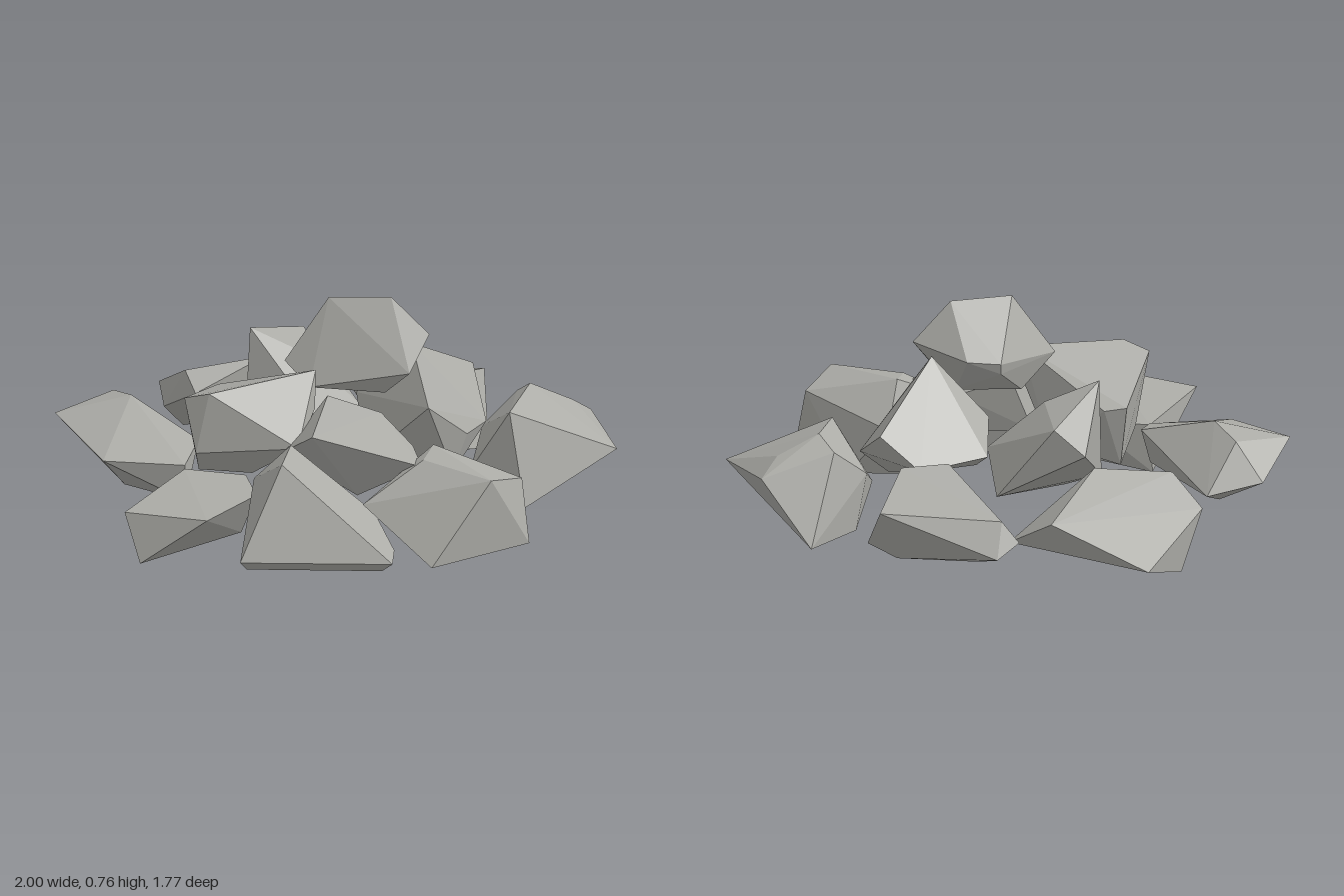
import * as THREE from 'three';
import { ConvexGeometry } from 'three/addons/geometries/ConvexGeometry.js';

// Corner points [x, y, z] of each faceted stone; the convex hull gives its faces.
const stones = {
  // outer ring
  leftBackStone: [
    [0, .15, -.73], [.08, .1, -.77], [.06, .22, -.7], [.49, .24, -.65], [.52, .03, -.4], [.4, .31, -.39],
    [.23, .31, -.36], [.44, .05, -.32], [.25, .2, -.25], [.2, .01, -.36], [.14, .03, -.6], [.42, .01, -.5]],
  leftStone: [
    [1, .19, .03], [.68, .01, .17], [.62, .33, .06], [.68, .36, -.17], [.63, .31, -.23], [.83, .29, -.2],
    [.72, .01, -.4], [.89, .23, -.27], [.48, .1, .02], [.51, .2, -.16], [.75, 0, -.05], [.55, 0, -.2]],
  leftFrontStone: [
    [.385, 0, .79], [.59, .29, .67], [.37, .33, .41], [.69, .25, .52], [.72, .03, .59], [.41, .19, .27],
    [.13, .17, .61], [.34, .31, .52], [.55, 0, .35], [.32, 0, .33]],
  frontStone: [
    [-.29, .04, .885], [.25, .04, .87], [.25, .05, .75], [-.15, .36, .74], [-.13, .36, .53], [-.26, .24, .55],
    [-.12, .3, .48], [.17, .13, .58], [-.27, 0, .84], [.21, 0, .83], [.1, 0, .55], [-.2, 0, .58]],
  rightFrontStone: [
    [-.71, .16, .71], [-.65, 0, .8], [-.41, .18, .84], [-.52, .18, .3], [-.3, .18, .35], [-.25, .18, .56],
    [-.53, 0, .3], [-.31, 0, .45]],
  rightStone: [
    [-1, .26, -.04], [-.89, .18, -.28], [-.69, .14, -.3], [-.8, .3, -.18], [-.73, .33, -.05], [-.48, .23, .13],
    [-.52, .19, .29], [-.52, .05, .27], [-.81, .2, .29], [-.75, .01, 0]],
  rightBackStone: [
    [-.45, .09, -.89], [-.11, .24, -.79], [.03, .11, -.62], [-.28, .33, -.48], [-.56, .29, -.43], [-.66, .2, -.56],
    [-.64, .12, -.52], [-.52, .22, -.38], [-.22, .16, -.5], [-.58, 0, -.66]],
  // middle layer
  innerBackStone: [
    [-.315, .545, -.18], [-.25, .36, -.45], [-.14, .46, -.44], [.06, .18, -.36], [.08, .28, -.13], [-.33, .13, -.04],
    [-.07, .3, .06], [-.12, .46, -.16], [0, .15, -.2], [-.2, .1, -.05]],
  innerLeftStone: [
    [.27, .57, .02], [.33, .28, -.36], [.47, .39, -.29], [.53, .25, -.07], [.34, .39, .2], [.47, .25, .07],
    [.085, .28, -.23], [.07, .36, -.04], [.11, .14, .05], [.3, .24, -.2], [.42, .11, .08]],
  innerRightStone: [
    [-.52, .455, .32], [-.43, .485, .36], [-.42, .38, -.04], [-.34, .37, -.04], [-.06, .53, .21], [-.06, .4, .25],
    [-.475, .27, .385], [-.11, .31, .43], [-.28, .17, .3], [-.4, .15, 0], [-.15, .2, .1], [-.47, .18, .3]],
  innerFrontStone: [
    [-.05, .42, .615], [-.02, .42, .17], [.17, .36, .17], [.335, .28, .51], [.29, .28, .29], [-.16, .3, .43],
    [-.1, .2, .22], [.1, .14, .43], [.2, .2, .22]],
  // summit
  topStone: [
    [-.02, .765, .1], [.2, .76, .07], [-.175, .535, .13], [.335, .615, .05], [.27, .5, .15], [-.085, .45, .17],
    [.03, .58, -.1], [.15, .59, -.1], [.18, .41, .1], [-.05, .43, .04], [.03, .54, -.09]],
};

export function createModel() {
  const pile = new THREE.Group();
  pile.name = 'stonePile';
  const stoneGrey = new THREE.MeshStandardMaterial({ color: 0xacaca7 });
  stoneGrey.name = 'stoneGrey';
  stoneGrey.flatShading = true;

  for (const [name, corners] of Object.entries(stones)) {
    const points = corners.map((c) => new THREE.Vector3(...c));
    const stone = new THREE.Mesh(new ConvexGeometry(points), stoneGrey);
    stone.name = name;
    pile.add(stone);
  }
  return pile;
}
